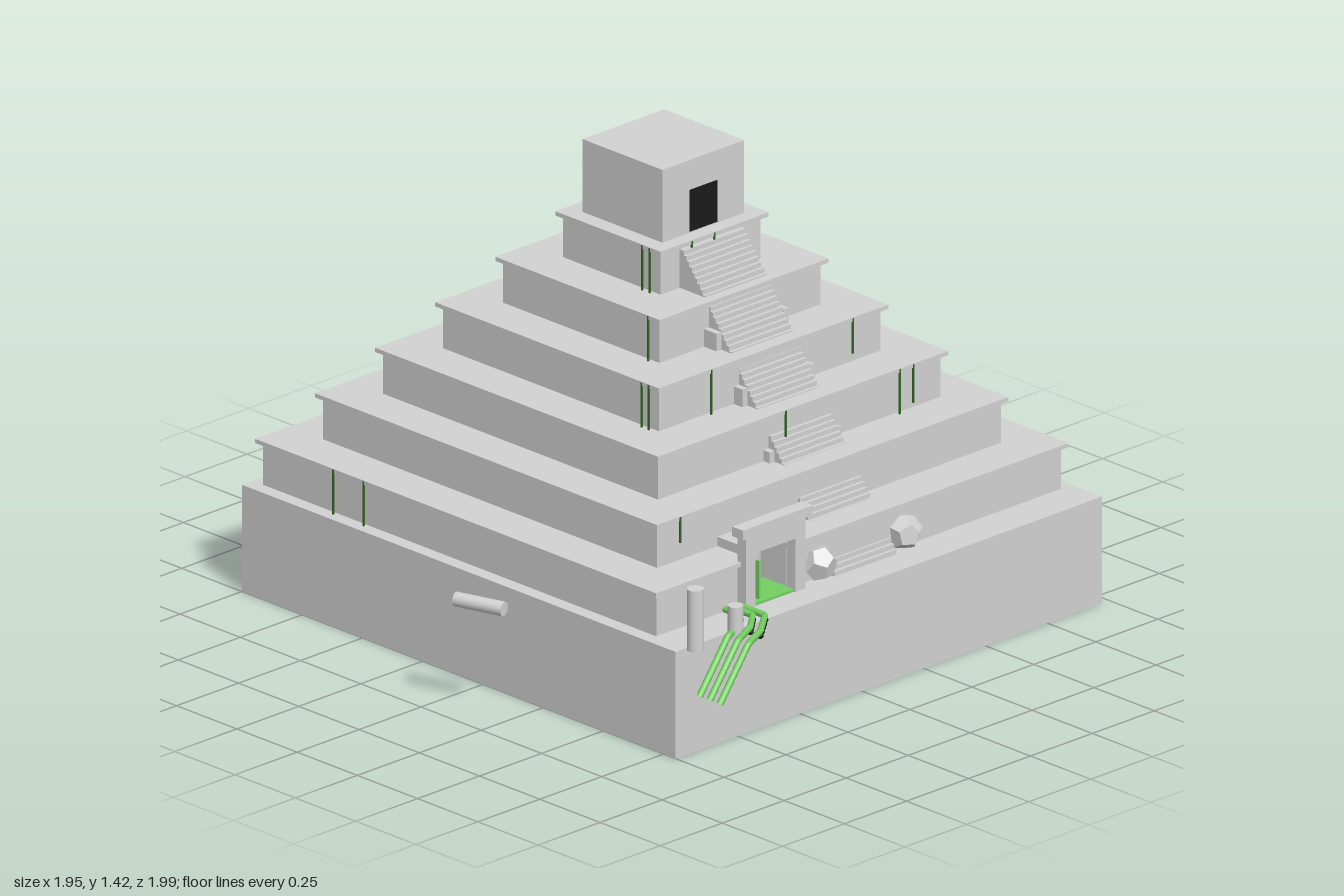
import * as THREE from 'three';

export function createModel() {
  const root = new THREE.Group();
  const mat = (name, color, extra = {}) => {
    const m = new THREE.MeshStandardMaterial({ color, ...extra });
    m.name = name;
    return m;
  };
  const stone = mat('stone', 0xd2d2d2);
  const dark = mat('dark opening', 0x1a1a1a);
  const vineGreen = mat('vine green', 0x356626);
  const green = mat('bright green', 0x74d060, { side: THREE.DoubleSide });

  const add = (name, geo, m, x = 0, y = 0, z = 0, parent = root) => {
    const mesh = new THREE.Mesh(geo, m);
    mesh.name = name;
    mesh.position.set(x, y, z);
    parent.add(mesh);
    return mesh;
  };
  // box given by its extents
  const block = (name, x0, x1, y0, y1, z0, z1, m = stone, parent = root) =>
    add(name, new THREE.BoxGeometry(x1 - x0, y1 - y0, z1 - z0), m,
      (x0 + x1) / 2, (y0 + y1) / 2, (z0 + z1) / 2, parent);

  const CX = 0.11, CZ = -0.142, GROUND = 0.333, RISE = 0.143;

  block('base', -0.75, 0.97, 0, GROUND, -1, 0.8);

  // six stepped tiers, each a wall with an overhanging slab
  const half = i => 0.832 - i * 0.1228;
  const tierBase = i => GROUND + i * RISE;
  const slabT = 0.013, overhang = 0.016;
  // square plate with a notch for the gate passage
  const notched = (name, w, y, depth) => {
    const s = new THREE.Shape([[CX - w, -(CZ - w)], [CX - w, -(CZ + w)], [-0.34, -(CZ + w)], [-0.34, -0.55],
      [-0.18, -0.55], [-0.18, -(CZ + w)], [CX + w, -(CZ + w)], [CX + w, -(CZ - w)]]
      .map(p => new THREE.Vector2(...p)));
    const g = new THREE.ExtrudeGeometry(s, { depth, bevelEnabled: false });
    g.rotateX(-Math.PI / 2);
    add(name, g, stone, 0, y, 0);
  };
  notched('tierWall1', half(0) - overhang, GROUND, RISE - slabT);
  notched('tierSlab1', half(0), GROUND + RISE - slabT, slabT);
  for (let i = 1; i < 6; i++) {
    const h = half(i), w = h - overhang, y = tierBase(i), top = y + RISE;
    block('tierWall' + (i + 1), CX - w, CX + w, y, top - slabT, CZ - w, CZ + w);
    block('tierSlab' + (i + 1), CX - h, CX + h, top - slabT, top, CZ - h, CZ + h);
  }

  // shrine and doorway
  block('shrine', -0.055, 0.275, 1.19, 1.418, -0.302, 0.03);
  block('doorway', 0.055, 0.165, 1.195, 1.325, 0.026, 0.032, dark);

  // one long staircase climbing through the tiers
  const stairs = new THREE.Group();
  stairs.name = 'staircase';
  root.add(stairs);
  const steps = 58, y0 = GROUND, y1 = 1.168;
  for (let i = 0; i < steps; i++) {
    const t = i / (steps - 1), dy = (y1 - y0) / steps;
    const front = 0.703 + (0.078 - 0.703) * t;
    block('step', -0.015, 0.235, y0 + i * dy, y0 + (i + 1) * dy, front - 0.16, front, stone, stairs);
  }
  // low cheek blocks beside the stairs
  [[4, 0.055, 0.035], [3, 0.055, 0.02], [2, 0.035, 0.01]].forEach(([i, h, d]) => {
    const z = CZ + half(i);
    for (const x of [-0.025, 0.245])
      block('stairCheek', x - 0.01, x + 0.01, tierBase(i), tierBase(i) + h, z - 0.02, z + d);
  });

  // gate with passage
  const gate = new THREE.Group();
  gate.name = 'gate';
  root.add(gate);
  for (const x of [-0.36, -0.16])
    block('gatePost', x - 0.02, x + 0.02, GROUND, 0.5, 0.675, 0.71, stone, gate);
  block('gateLintel', -0.38, -0.14, 0.5, 0.558, 0.675, 0.71, stone, gate);
  block('gateCap', -0.398, -0.115, 0.558, 0.588, 0.672, 0.717, stone, gate);
  block('passageRoof', -0.34, -0.18, 0.493, 0.505, 0.55, 0.675, stone, gate);
  for (const x of [-0.338, -0.182])
    block('passageSide', x - 0.002, x + 0.002, 0.475, 0.493, 0.55, 0.675, stone, gate);
  block('passageFloor', -0.34, -0.18, GROUND, 0.341, 0.55, 0.705, green, gate);
  block('passagePanel', -0.308, -0.302, 0.341, 0.46, 0.59, 0.69, green, gate);
  add('passageUrn', new THREE.CylinderGeometry(0.05, 0.05, 0.11, 20), stone, -0.252, 0.405, 0.57, gate);

  // boulders at the foot of the stairs
  for (const x of [-0.06, 0.285]) {
    const b = add('boulder', new THREE.DodecahedronGeometry(0.055), stone, x, 0.383, 0.683);
    b.rotation.set(0.3, x * 4, 0.2);
  }

  // standing and fallen columns
  const column = (r, h, x, y, z) => add('column', new THREE.CylinderGeometry(r, r, h, 20), stone, x, y, z);
  column(0.025, 0.19, -0.695, GROUND + 0.095, 0.825);
  column(0.023, 0.097, -0.54, GROUND + 0.048, 0.832);
  const fallen = column(0.022, 0.16, -0.932, 0.353, 0.175);
  fallen.name = 'fallenColumn';
  fallen.quaternion.setFromUnitVectors(new THREE.Vector3(0, 1, 0), new THREE.Vector3(0.3, 0, 1).normalize());

  // three green roots spilling over the base edge, with dark knots below
  for (let k = 0; k < 3; k++) {
    const d = k * 0.042, e = k * 0.025;
    const path = new THREE.CurvePath();
    const pts = [[-0.75, 0.225, 0.9 + d], [-0.59, 0.352, 0.852 + d], [-0.5, 0.355, 0.81 + d],
      [-0.455 + e, 0.355, 0.765 + d * 0.6], [-0.455 + e, 0.355, 0.7]].map(p => new THREE.Vector3(...p));
    for (let i = 0; i < pts.length - 1; i++) path.add(new THREE.LineCurve3(pts[i], pts[i + 1]));
    add('root', new THREE.TubeGeometry(path, 48, 0.01, 8, false), green);
    for (let j = 0; j < 5; j++) {
      const p = pts[2].clone().lerp(pts[3], j / 4);
      add('rootKnot', new THREE.SphereGeometry(0.01, 8, 6), dark, p.x, 0.341, p.z);
    }
  }

  // vines hanging from the slab edges: side, tier, position along the side, length
  const vines = [
    ['f', 1, -0.505, 0.08], ['f', 3, -0.14, 0.14], ['f', 2, 0.04, 0.09], ['f', 3, 0.43, 0.11],
    ['f', 2, 0.5, 0.14], ['f', 2, 0.555, 0.12], ['f', 5, 0.02, 0.03], ['f', 5, 0.11, 0.03],
    ['r', 5, -0.04, 0.14], ['r', 5, -0.14, 0.09], ['r', 5, -0.3, 0.14], ['r', 3, -0.225, 0.14],
    ['r', 2, -0.37, 0.09], ['r', 2, 0.4, 0.14], ['r', 1, 0.275, 0.14], ['r', 1, -0.68, 0.14],
    ['r', 0, 0.11, 0.14], ['r', 0, -0.675, 0.14], ['r', 0, -0.9, 0.14],
    ['b', 1, 0.26, 0.14], ['b', 1, 0.115, 0.1], ['b', 1, -0.12, 0.14], ['b', 1, -0.16, 0.14],
    ['b', 2, -0.285, 0.14], ['b', 2, -0.325, 0.14], ['b', 4, 0.02, 0.06], ['b', 3, 0.135, 0.06],
    ['l', 0, -0.65, 0.14], ['l', 0, -0.525, 0.14], ['l', 3, 0.25, 0.14], ['l', 3, 0.28, 0.14],
    ['l', 5, 0.0, 0.14], ['l', 5, 0.03, 0.14], ['l', 4, 0.15, 0.14]
  ];
  for (const [side, i, at, len] of vines) {
    const out = half(i) - 0.001, top = tierBase(i) + RISE - 0.002;
    const along = side === 'f' || side === 'b';
    const sign = side === 'f' || side === 'r' ? 1 : -1;
    add('vine', new THREE.BoxGeometry(0.005, len, 0.005), vineGreen,
      along ? at : CX + sign * out, top - len / 2, along ? CZ + sign * out : at);
  }
  return root;
}
